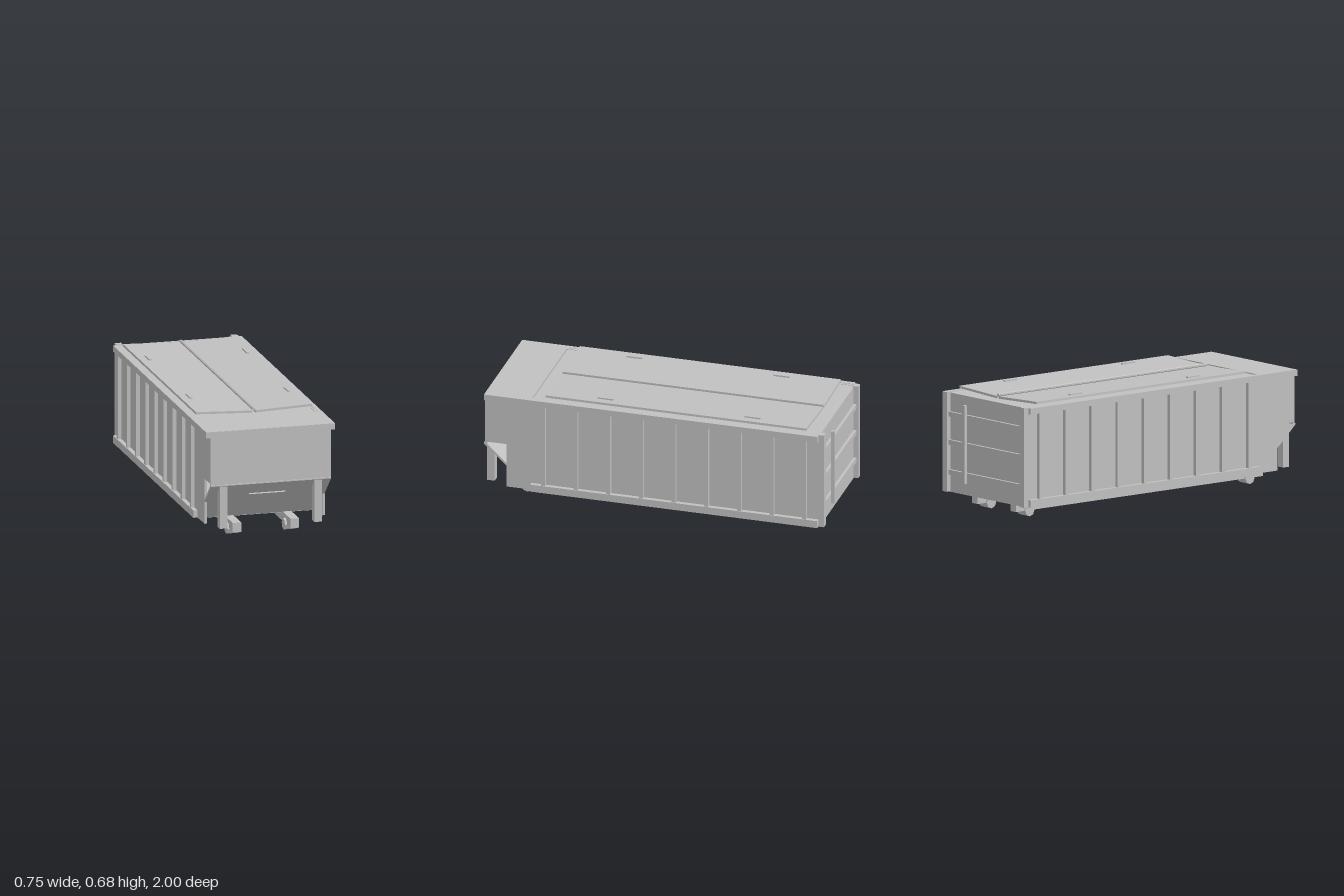
import * as THREE from 'three';

export function createModel() {
  const model = new THREE.Group();
  model.name = 'rollOffContainer';
  const steel = new THREE.MeshStandardMaterial({ color: 0xc0c0c0, flatShading: true });
  steel.name = 'grey steel';

  const add = (name, geometry) => {
    const mesh = new THREE.Mesh(geometry, steel);
    mesh.name = name;
    model.add(mesh);
    return mesh;
  };
  // box given by its limits on each axis
  const box = (name, x0, x1, y0, y1, z0, z1) => {
    const mesh = add(name, new THREE.BoxGeometry(x1 - x0, y1 - y0, z1 - z0));
    mesh.position.set((x0 + x1) / 2, (y0 + y1) / 2, (z0 + z1) / 2);
    return mesh;
  };
  // the same box on both sides
  const pair = (name, x0, x1, ...rest) => {
    box(name + 'Left', x0, x1, ...rest);
    box(name + 'Right', -x1, -x0, ...rest);
  };
  // side profile of [z, y] points, extruded from x0 to x1
  const profile = (name, points, x0, x1) => {
    const shape = new THREE.Shape(points.map(([z, y]) => new THREE.Vector2(z, y)));
    const geo = new THREE.ExtrudeGeometry(shape, { depth: x1 - x0, bevelEnabled: false });
    geo.rotateY(-Math.PI / 2).translate(x1, 0, 0);
    return add(name, geo);
  };
  const profilePair = (name, points, x0, x1) => {
    profile(name + 'Left', points, x0, x1);
    profile(name + 'Right', points, -x1, -x0);
  };

  // hollow shell: notched side walls, front, sloping front underside, floor, rear
  profilePair('sideWall', [
    [-0.96, 0.088], [0.865, 0.088], [0.865, 0.35], [0.99, 0.35], [0.99, 0.65], [-0.96, 0.65],
  ], 0.335, 0.35);
  box('frontWall', -0.35, 0.35, 0.34, 0.65, 0.978, 0.991);
  profile('slopingFrontPlate', [
    [0.998, 0.336], [0.72, 0.083], [0.72, 0.098], [0.985, 0.342], [0.998, 0.342],
  ], -0.349, 0.349);
  box('floor', -0.349, 0.349, 0.083, 0.095, -0.958, 0.722);
  box('rearDoor', -0.348, 0.348, 0.086, 0.65, -0.966, -0.95);
  box('frontRoof', -0.35, 0.35, 0.635, 0.652, 0.718, 0.99);
  box('rearRoof', -0.35, 0.35, 0.635, 0.648, -0.96, 0.712);

  // side rails and stiffening ribs
  pair('topRail', 0.348, 0.375, 0.617, 0.652, -0.96, 0.99);
  pair('bottomRail', 0.348, 0.375, 0.087, 0.13, -0.96, 0.72);
  for (let i = 0; i < 9; i++) {
    const z = 0.646 - i * 0.191;
    pair('sideRib' + (i + 1), 0.348, 0.371, 0.13, 0.617, z - 0.012, z + 0.012);
  }

  // rear posts, door ribs and locking bar
  pair('rearPost', 0.318, 0.355, 0.088, 0.655, -0.993, -0.96);
  for (const y of [0.2, 0.37, 0.53]) box('doorRib', -0.318, 0.318, y - 0.014, y + 0.014, -0.982, -0.96);
  box('lockingBar', 0.157, 0.175, 0.155, 0.6, -1, -0.98);

  // two lids falling towards the middle, with handles
  for (const s of [-1, 1]) {
    const side = s > 0 ? 'Left' : 'Right';
    const tilt = Math.atan2(0.014, 0.33);
    const lid = box('lid' + side, -0.165, 0.165, -0.0065, 0.0065, -0.885, 0.64);
    lid.position.set(s * 0.173, 0.6635, -0.1225);
    lid.rotation.z = s * tilt;
    for (const z of [0.305, -0.555]) {
      box('lidHandle' + side, s * 0.284 - 0.007, s * 0.284 + 0.007, 0.67, 0.683, z - 0.046, z + 0.046);
    }
  }
  const rod = add('lidHingeRod', new THREE.CylinderGeometry(0.009, 0.009, 1.525, 6).rotateX(Math.PI / 2));
  rod.position.set(0, 0.67, -0.1225);

  // front legs cut to the slope, and the pull bar
  profilePair('frontLeg', [[0.95, 0.088], [0.994, 0.088], [0.994, 0.333], [0.95, 0.295]], 0.253, 0.297);
  const bar = box('pullBar', -0.106, 0.106, -0.0055, 0.0055, -0.0055, 0.0055);
  bar.position.set(0, 0.257, 0.914);
  bar.rotation.x = Math.PI / 4;

  // skids with eight-sided rollers
  pair('skid', 0.143, 0.193, 0.033, 0.088, -0.915, 0.89);
  for (const x of [-0.167, 0.167]) {
    for (const z of [0.787, -0.823]) {
      const roller = add('roller', new THREE.CylinderGeometry(0.034, 0.034, 0.074, 8).rotateZ(Math.PI / 2));
      roller.position.set(x, 0.034, z);
    }
  }
  return model;
}
